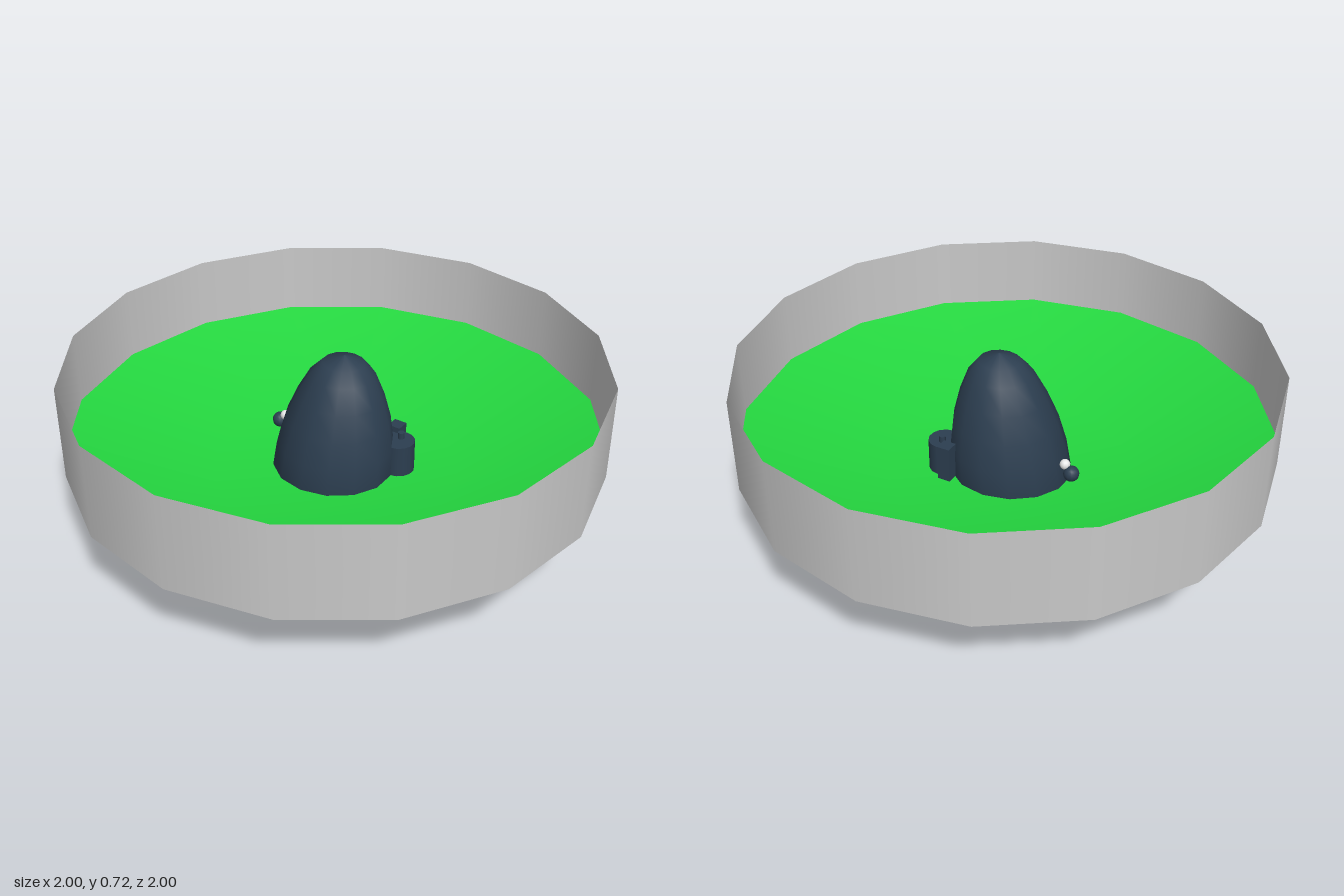
import * as THREE from 'three';

const V = (x, y) => new THREE.Vector2(x, y);

export function createModel() {
  const model = new THREE.Group();
  const green = new THREE.MeshStandardMaterial({ color: 0x24d63f, side: THREE.DoubleSide });
  green.name = 'grassGreen';
  const grey = new THREE.MeshStandardMaterial({ color: 0xc8c8c8, side: THREE.DoubleSide });
  grey.name = 'wallGrey';
  const slate = new THREE.MeshStandardMaterial({ color: 0x2c3e50 });
  slate.name = 'slateBlue';
  const white = new THREE.MeshStandardMaterial({ color: 0xf0f0f0 });
  white.name = 'white';

  const add = (name, geometry, material, x = 0, y = 0, z = 0) => {
    const mesh = new THREE.Mesh(geometry, material);
    mesh.name = name;
    mesh.position.set(x, y, z);
    model.add(mesh);
    return mesh;
  };

  // Open sixteen-sided ring wall
  add('wall', new THREE.CylinderGeometry(1, 1, 0.37, 16, 1, true), grey, 0, 0.503, 0);

  // Shallow dished floor, a little higher towards the back right
  const floor = new THREE.LatheGeometry([V(0.998, 0.41), V(0.46, 0.235), V(0, 0.235)], 16);
  const fp = floor.attributes.position;
  for (let i = 0; i < fp.count; i++) {
    const x = fp.getX(i), z = fp.getZ(i), r = Math.hypot(x, z);
    if (r > 0.1 && r < 0.9) fp.setY(i, 0.235 + 0.02 * Math.max(0, -(x + z) / r / 1.414));
  }
  add('floor', floor, green);

  // Egg-shaped boulder standing through the floor, leaning slightly to its left
  const boulder = new THREE.LatheGeometry([
    V(0, 0), V(0.09, 0.01), V(0.17, 0.05), V(0.213, 0.13), V(0.235, 0.22), V(0.226, 0.34),
    V(0.203, 0.45), V(0.168, 0.55), V(0.125, 0.64), V(0.08, 0.69), V(0, 0.72),
  ], 14);
  const bp = boulder.attributes.position;
  for (let i = 0; i < bp.count; i++) {
    const lean = Math.max(0, bp.getY(i) - 0.22) / 0.5;
    bp.setX(i, bp.getX(i) - 0.023 + 0.053 * lean);
    bp.setZ(i, bp.getZ(i) * 0.92 - 0.01);
  }
  add('boulder', boulder, slate);

  // Barrel with a small cap, and a post behind it
  add('barrel', new THREE.CylinderGeometry(0.062, 0.062, 0.125, 14), slate, 0.2, 0.295, -0.122);
  add('barrelCap', new THREE.CylinderGeometry(0.013, 0.013, 0.025, 8), slate, 0.2, 0.37, -0.14);
  add('post', new THREE.BoxGeometry(0.05, 0.14, 0.05), slate, 0.155, 0.31, -0.185);

  // Small lamp on the right side
  add('lampBody', new THREE.SphereGeometry(0.03, 12, 8), slate, -0.29, 0.32, -0.045);
  add('lampBulb', new THREE.SphereGeometry(0.02, 10, 8), white, -0.262, 0.35, -0.042);

  return model;
}
